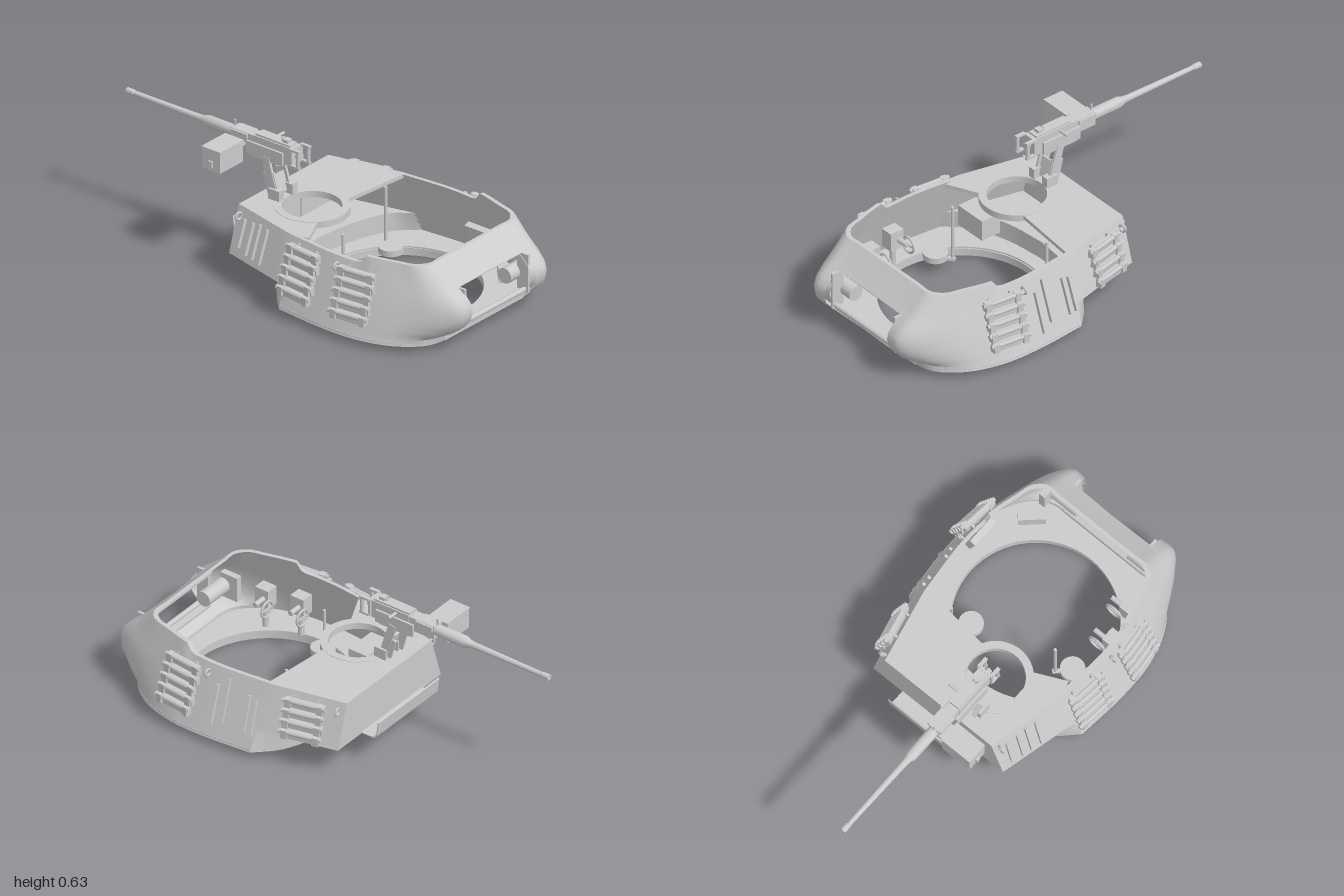
import * as THREE from 'three';
import { toCreasedNormals } from 'three/addons/utils/BufferGeometryUtils.js';

const mat = new THREE.MeshStandardMaterial({ color: 0xcccccc });
const thin = new THREE.MeshStandardMaterial({ color: 0xcccccc, side: THREE.DoubleSide });

function add(parent, name, geo, x = 0, y = 0, z = 0, rx = 0, ry = 0, rz = 0, m = mat) {
  const mesh = new THREE.Mesh(geo, m);
  mesh.name = name;
  mesh.position.set(x, y, z);
  mesh.rotation.set(rx, ry, rz);
  parent.add(mesh);
  return mesh;
}
const box = (w, h, d) => new THREE.BoxGeometry(w, h, d);
const cyl = (r1, r2, h, n = 20) => new THREE.CylinderGeometry(r1, r2, h, n);
const group = (parent, name) => {
  const g = new THREE.Group();
  g.name = name;
  parent.add(g);
  return g;
};
const lerp = THREE.MathUtils.lerp;

// Half outlines [x, z] from back centre round the left side to front centre
const BOTTOM = [[0, -.04], [.2, -.015], [.385, .055], [.488, .15], [.508, .4], [.5, .58], [.45, .74], [.36, .85], [.28, .88], [.212, .88], [0, .88]];
const BUSTLE = [[0, -.23], [.2, -.23], [.365, -.23]];
const TOP = [[0, -.23], [.2, -.23], [.3, -.23], [.378, .12], [.402, .4], [.39, .56], [.355, .7], [.33, .78], [.28, .82], [.212, .82], [0, .82]];
const BULGE = [0, 0, 0, 0, 0, .08, .3, .7, 1, 1, .95];
// Nose profile [height fraction, z]
const FRONT = [[0, .88], [.08, .885], [.14, .925], [.2, .955], [.32, .99], [.45, 1], [.54, .992], [.63, .965], [.72, .925], [.82, .885], [.92, .85], [1, .82]];

function frontZ(t) {
  const i = Math.max(1, FRONT.findIndex(p => p[0] >= t - 1e-6));
  const [a, b] = [FRONT[i - 1], FRONT[i]];
  return lerp(a[1], b[1], (t - a[0]) / (b[0] - a[0]));
}

// Half outline at height fraction t; the drum below the bustle is round, the bustle straight
function halfOutline(t, drum) {
  const pts = TOP.map((p, i) => {
    const low = i < 3 && !drum ? BUSTLE[i] : BOTTOM[i];
    const k = i < 3 ? (drum ? 0 : (t - .32) / .68) : t;
    const bulge = BULGE[i] * (frontZ(t) - lerp(.88, .82, t));
    return new THREE.Vector3(lerp(low[0], p[0], k), 0, lerp(low[1], p[1], k) + bulge);
  });
  const rear = new THREE.CatmullRomCurve3(pts.slice(0, 4), false, 'centripetal');
  const side = new THREE.CatmullRomCurve3(pts.slice(3, 10), false, 'centripetal');
  const out = [];
  for (let i = 0; i < 15; i++) {
    const s = Math.floor(i / 5);
    out.push(drum ? rear.getPoint(i / 15) : pts[s].clone().lerp(pts[s + 1], (i % 5) / 5));
  }
  out.push(...side.getPoints(36), pts[10]);
  for (const p of out) {
    const top = .34 + .04 * THREE.MathUtils.clamp((p.z - .53) / .025, 0, 1);
    p.y = .03 + (top - .03) * t;
  }
  return out;
}
const mirrorLoop = half => [...half, ...half.slice(1, -1).reverse().map(p => new THREE.Vector3(-p.x, p.y, p.z))];
const inset = p => new THREE.Vector3(p.x * .955, p.y, .35 + (p.z - .35) * .965);

function shellGeometry() {
  const levels = [[0, 1], [.08, 1], [.14, 1], [.2, 1], [.32, 1], [.32, 0], [.38, 0], [.45, 0], [.54, 0], [.63, 0], [.72, 0], [.82, 0], [.92, 0], [1, 0]];
  const outer = levels.map(([t, d]) => mirrorLoop(halfOutline(t, d)));
  const inner = outer.map(l => l.map(inset));
  const pos = [];
  const strip = (lo, hi, skip) => lo.forEach((a, i) => {
    const j = (i + 1) % lo.length, b = lo[j], c = hi[j], d = hi[i];
    if (skip && a.z > .8 && Math.abs(a.x + b.x) / 2 < .2) return;
    for (const p of [a, d, c, a, c, b]) pos.push(p.x, p.y, p.z);
  });
  for (let k = 0; k < levels.length - 1; k++) {
    const open = levels[k][0] >= .2 && levels[k + 1][0] <= .72; // front window
    strip(outer[k], outer[k + 1], open);
    strip(inner[k + 1], inner[k], open);
  }
  strip(outer.at(-1), inner.at(-1));
  const g = new THREE.BufferGeometry();
  g.setAttribute('position', new THREE.Float32BufferAttribute(pos, 3));
  return toCreasedNormals(g, .6);
}

// Flat plate from an [x, z] shape, top face at y
function plate(parent, name, shape, y, depth) {
  const g = new THREE.ExtrudeGeometry(shape, { depth, bevelEnabled: false, curveSegments: 48 });
  g.rotateX(Math.PI / 2);
  return add(parent, name, g, 0, y, 0);
}
const hole = (x, z, r) => new THREE.Path().absarc(x, z, r, 0, Math.PI * 2, true);

// Group lying on the side wall: x along the wall, y up the slope, z outward
function wallGroup(parent, name, side, z, y) {
  const at = (zz, yy) => {
    const h = halfOutline((yy - .03) / .31, 0).slice(10, 44);
    const i = Math.max(1, h.findIndex(p => p.z >= zz));
    const k = (zz - h[i - 1].z) / (h[i].z - h[i - 1].z);
    return new THREE.Vector3(side * lerp(h[i - 1].x, h[i].x, k), yy, zz);
  };
  const p = at(z, y);
  const along = at(z - .04, y).sub(at(z + .04, y)).normalize().multiplyScalar(side);
  const up = at(z, y + .04).sub(at(z, y - .04));
  const out = along.clone().cross(up).normalize();
  const g = group(parent, name);
  g.applyMatrix4(new THREE.Matrix4().makeBasis(along, out.clone().cross(along), out).setPosition(p));
  return g;
}

// Rack of spare track links with end pins and posts
function trackRack(parent, side, z, y, rows) {
  const g = wallGroup(parent, 'trackLinkRack', side, z, y);
  for (let r = 0; r < rows; r++) {
    const ry = (r - (rows - 1) / 2) * .047;
    add(g, 'trackLink', box(.17, .038, .022), (r % 2) * .01, ry, .02, .35);
    add(g, 'linkPin', cyl(.011, .011, .2, 8), 0, ry + .008, .034, 0, 0, Math.PI / 2);
    for (const s of [-1, 1]) add(g, 'linkEnd', box(.028, .042, .03), s * .075, ry, .027, .35);
  }
  for (const s of [-1, 1]) add(g, 'rackPost', box(.01, rows * .047 + .01, .014), s * .055, 0, .008);
}

function machineGun(parent) {
  const g = group(parent, 'machineGun');
  g.position.set(-.12, .56, 0);
  const R = Math.PI / 2;
  // Barrel, turned along z
  const prof = [[0, -.02], [.026, -.02], [.026, .15], [.018, .17], [.015, .2], [.011, .56], [.014, .565], [.014, .6], [.006, .6], [.006, .58], [0, .58]];
  const barrel = new THREE.LatheGeometry(prof.map(p => new THREE.Vector2(...p)), 20);
  add(g, 'barrel', toCreasedNormals(barrel, .5), 0, .004, -.4, -R);
  add(g, 'receiver', box(.062, .085, .2), 0, -.005, -.165);
  add(g, 'receiverFront', box(.055, .065, .14), 0, 0, -.33);
  add(g, 'topCover', box(.05, .012, .19), 0, .04, -.17);
  add(g, 'rearPlate', box(.08, .08, .012), 0, 0, -.06);
  add(g, 'buffer', cyl(.016, .016, .03, 6), 0, 0, -.045, R);
  for (const s of [-1, 1]) {
    add(g, 'grip', cyl(.009, .009, .07, 10), s * .035, 0, -.02);
    for (const v of [-1, 1]) add(g, 'gripBracket', box(.016, .01, .05), s * .035, v * .038, -.035);
    add(g, 'cradleSide', box(.01, .06, .2), s * .043, -.02, -.2);
    add(g, 'pedestalArm', box(.012, .2, .038), s * .045, -.13, -.165, -.28);
    add(g, 'pedestalWeb', box(.01, .1, .06), s * .041, -.155, -.165, -.28);
    add(g, 'pedestalFoot', box(.034, .05, .06), s * .045, -.195, -.135);
  }
  add(g, 'pedestalPlate', box(.085, .09, .012), 0, -.165, -.152, -.28);
  add(g, 'cradleBase', box(.09, .012, .16), 0, -.05, -.2);
  add(g, 'rearSight', box(.03, .016, .03), 0, .052, -.11);
  add(g, 'sightRing', new THREE.TorusGeometry(.009, .003, 6, 12), 0, .055, -.13);
  add(g, 'frontSight', box(.006, .04, .008), 0, .04, -.4);
  add(g, 'feedCover', box(.075, .02, .09), 0, .02, -.35);
  add(g, 'chargingHandle', cyl(.007, .007, .05, 10), .06, .027, -.2, 0, 0, R);
  // Ammunition box with lid and latch
  add(g, 'ammunitionBox', box(.155, .1, .1), -.132, -.042, -.36);
  add(g, 'boxLid', box(.16, .008, .104), -.132, .007, -.36);
  add(g, 'boxLatch', box(.008, .03, .02), -.214, -.06, -.36);
  add(g, 'boxBracket', box(.06, .012, .08), -.045, -.02, -.36);
}

export function createModel() {
  const root = new THREE.Group();
  root.name = 'turret';
  const R = Math.PI / 2;

  // Armoured shell
  add(root, 'shell', shellGeometry(), 0, 0, 0, 0, 0, 0, thin);
  const floor = new THREE.Shape(mirrorLoop(halfOutline(0, 1)).map(p => new THREE.Vector2(p.x * .995, p.z)));
  floor.holes.push(hole(0, .41, .366));
  plate(root, 'floor', floor, .042, .012);
  const ring = [[.365, .035], [.365, 0], [.4, 0], [.4, .035], [.365, .035]].map(p => new THREE.Vector2(...p));
  add(root, 'turretRing', toCreasedNormals(new THREE.LatheGeometry(ring, 64), .5), 0, 0, .415, 0, 0, 0, thin);

  // Roof with round hatch
  const roof = new THREE.Shape();
  roof.moveTo(-.297, -.23).lineTo(.297, -.23).lineTo(.373, .135).lineTo(.03, .1);
  roof.absarc(-.11, .02, .164, .5, 2.3, false).lineTo(-.36, .21).lineTo(-.373, .12);
  roof.holes.push(hole(-.11, .02, .13));
  plate(root, 'roof', roof, .34, .018);
  const rim = new THREE.Shape().absarc(-.11, .02, .165, 0, Math.PI * 2);
  rim.holes.push(hole(-.11, .02, .13));
  plate(root, 'hatchRing', rim, .342, .03);

  // Front window frame, trunnions and sill rod
  for (const s of [-1, 1]) {
    add(root, 'windowCheek', box(.012, .18, .06), s * .212, .19, .93);
    add(root, 'trunnion', cyl(.036, .036, .16, 28), s * .225, .18, .88, 0, 0, R);
    add(root, 'trunnionMount', box(.03, .12, .09), s * .3, .18, .85);
  }
  add(root, 'windowHead', box(.43, .012, .03), 0, .278, .9);
  add(root, 'windowSill', box(.43, .012, .05), 0, .101, .92);
  add(root, 'sillRod', cyl(.012, .012, .42, 14), 0, .112, .94, 0, 0, R);
  add(root, 'lowerLip', box(.52, .025, .02), 0, .043, .876);

  // Spare track and wall strips
  trackRack(root, 1, .545, .205, 5);
  trackRack(root, 1, -.06, .225, 4);
  trackRack(root, -1, .54, .205, 5);
  trackRack(root, -1, .24, .205, 5);
  const strips = [[1, .36, .175, .19], [1, .31, .21, .2], [1, .2, .185, .17], [1, .165, .18, .16],
    [-1, -.17, .235, .13], [-1, -.115, .23, .15], [-1, -.07, .235, .16], [-1, -.02, .23, .16]];
  for (const [s, z, y, h] of strips) add(wallGroup(root, 'wallStrip', s, z, y), 'strip', box(.012, h, .016), 0, 0, .007);
  for (const s of [-1, 1]) for (const z of [-.2, .42]) {
    const lug = wallGroup(root, 'liftingLug', s, z, .298);
    add(lug, 'lugEye', new THREE.TorusGeometry(.016, .006, 8, 16), 0, 0, .014, 0, R);
  }

  // Curled shelf behind the bustle
  const curl = [[-.22, .133], [-.29, .133], [-.306, .137], [-.315, .15], [-.325, .22]];
  const shelf = new THREE.Shape();
  curl.forEach(([z, y], i) => i ? shelf.lineTo(-z, y) : shelf.moveTo(-z, y));
  [...curl].reverse().forEach(([z, y]) => shelf.lineTo(-z - .004, y + .005));
  const shelfGeo = new THREE.ExtrudeGeometry(shelf, { depth: .43, bevelEnabled: false });
  add(root, 'rearShelf', shelfGeo, -.23, 0, 0, 0, R);
  add(root, 'rearInnerStrip', box(.016, .17, .01), .098, .22, -.21);

  // Hanging seats
  for (const [x, z, px, pz] of [[.19, .21, .24, .14], [-.275, .335, -.22, .285]]) {
    const seat = group(root, 'crewSeat');
    add(seat, 'seatPad', cyl(.055, .055, .028, 28), x, .075, z);
    add(seat, 'seatPole', cyl(.007, .007, .28, 10), px, .19, pz);
    add(seat, 'seatArm', box(.02, .012, .1), (x + px) / 2, .06, (z + pz) / 2, 0, Math.atan2(px - x, pz - z));
  }

  // Stowage boxes and aiming gear inside
  add(root, 'stowageBox', box(.16, .1, .1), -.28, .15, .09);
  add(root, 'wallBox', box(.03, .1, .14), .41, .15, .53, 0, 0, .3);
  add(root, 'frontCornerBox', box(.12, .06, .04), .3, .1, .74, 0, .75);
  for (const [x, z, y] of [[-.33, .51, .2], [-.29, .67, .2]]) {
    const gear = group(root, 'aimingGear');
    gear.position.set(x, y, z);
    add(gear, 'gearCase', box(.06, .09, .07), -.02, 0, 0);
    add(gear, 'gearShaft', cyl(.012, .012, .1, 12), .02, 0, -.01, 0, 0, R);
    add(gear, 'handWheel', new THREE.TorusGeometry(.038, .006, 8, 24), .03, -.03, -.045);
    add(gear, 'wheelSpoke', box(.074, .008, .006), .03, -.03, -.045);
    add(gear, 'gearPost', cyl(.014, .014, .16, 12), -.02, -.08, 0);
  }

  machineGun(root);
  return root;
}
